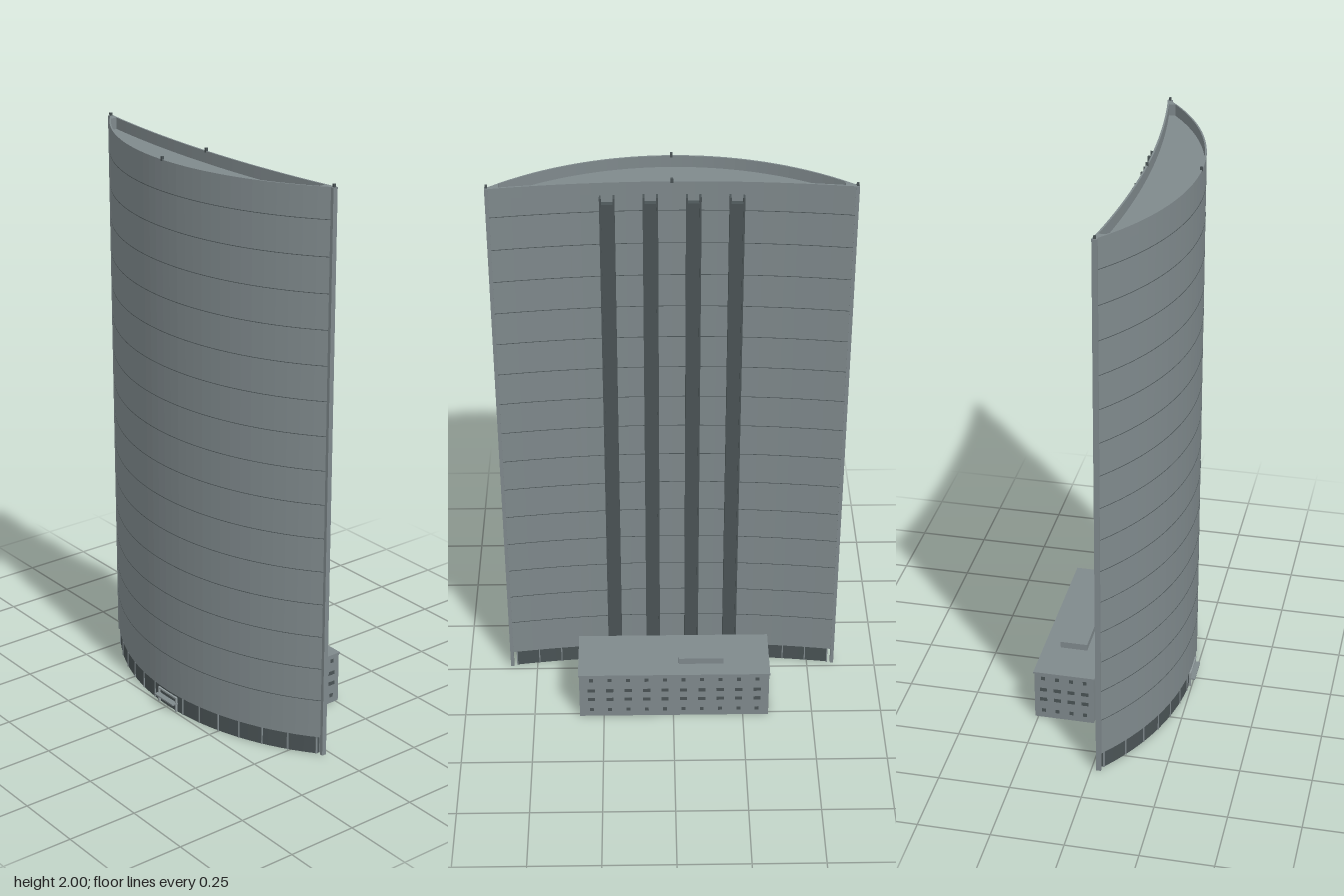
import * as THREE from 'three';

const mat = (name, color) => {
  const m = new THREE.MeshStandardMaterial({ color });
  m.name = name;
  return m;
};

// Plan curves of the crescent tower: z as a function of x
const arcZ = (x, half, zMid, zEnd) => {
  const sag = zMid - zEnd;
  const r = (half * half + sag * sag) / (2 * sag);
  return zMid - r + Math.sqrt(r * r - x * x);
};
const frontZ = x => arcZ(x, 0.59, 0.245, 0.03);
const backZ = x => arcZ(x, 0.59, 0.062, 0.018);

// Closed outline (drawn with y = -z) between the two curves
function crescent(half, inset, PathType = THREE.Shape, n = 32) {
  const pts = [];
  const at = i => -half + (2 * half * i) / n;
  for (let i = 0; i <= n; i++) pts.push(new THREE.Vector2(at(i), -(frontZ(at(i)) - inset)));
  for (let i = n; i >= 0; i--) pts.push(new THREE.Vector2(at(i), -(backZ(at(i)) + inset)));
  return new PathType(pts);
}

// Extrude a plan outline upward from y0 to y1
function rise(shape, y0, y1) {
  const g = new THREE.ExtrudeGeometry(shape, { depth: y1 - y0, bevelEnabled: false });
  g.rotateX(-Math.PI / 2);
  return g.translate(0, y0, 0);
}

export function createModel() {
  const model = new THREE.Group();
  model.name = 'crescentTowerAndAnnex';
  const grey = mat('blueGreyFacade', 0x7f898c);
  const dark = mat('darkGlass', 0x4a5355);
  const trim = mat('lightTrim', 0x8f999b);

  const add = (parent, name, geo, material) => {
    const m = new THREE.Mesh(geo, material);
    m.name = name;
    parent.add(m);
    return m;
  };
  // Box given by its min and max corners
  const box = (parent, name, x0, x1, y0, y1, z0, z1, material) =>
    add(parent, name, new THREE.BoxGeometry(x1 - x0, y1 - y0, z1 - z0), material)
      .position.set((x0 + x1) / 2, (y0 + y1) / 2, (z0 + z1) / 2);
  const group = name => {
    const g = new THREE.Group();
    g.name = name;
    model.add(g);
    return g;
  };

  // Tower: main body, sunken roof and parapet
  const tower = group('tower');
  add(tower, 'towerBody', rise(crescent(0.59, 0), 0.065, 1.95), grey);
  const ring = crescent(0.59, 0);
  ring.holes.push(crescent(0.555, 0.006, THREE.Path));
  add(tower, 'parapet', rise(ring, 1.95, 1.99), grey);

  // Fine floor seams around the body
  for (let i = 0; i < 15; i++) {
    const y = 0.205 + i * 0.12;
    add(tower, 'floorSeam', rise(crescent(0.588, -0.0008), y, y + 0.002), dark);
  }

  // Glazed ground floor with mullions following both curves
  const lobby = group('lobby');
  add(lobby, 'lobbyGlass', rise(crescent(0.575, 0.004), 0, 0.065), dark);
  for (let i = -7; i <= 7; i++) {
    if (i === 0) continue;
    const x = i * 0.082;
    for (const z of [frontZ(x) - 0.004, backZ(x) + 0.004])
      box(lobby, 'mullion', x - 0.002, x + 0.002, 0, 0.065, z - 0.003, z + 0.003, grey);
  }

  // Entrance: posts, lintel and canopy
  const entrance = group('entrance');
  for (const s of [-1, 1])
    box(entrance, 'entrancePost', s * 0.05 - 0.003, s * 0.05 + 0.003, 0, 0.056, 0.232, 0.247, trim);
  box(entrance, 'entranceLintel', -0.053, 0.053, 0.05, 0.056, 0.232, 0.247, trim);
  box(entrance, 'canopy', -0.054, 0.054, 0.029, 0.034, 0.235, 0.262, grey);

  // Full height pillars at the tips, and small roof lights
  for (const s of [-1, 1]) {
    box(tower, 'tipPillar', s * 0.593 - 0.006, s * 0.593 + 0.006, 0, 1.99, 0.017, 0.034, grey);
    box(tower, 'tipLight', s * 0.593 - 0.004, s * 0.593 + 0.004, 1.99, 2, 0.022, 0.03, dark);
  }
  for (const z of [0.064, 0.242])
    box(tower, 'roofLight', -0.004, 0.004, 1.985, 2, z - 0.004, z + 0.004, dark);

  // Four shafts on the back, each a recessed panel between two fins
  const shafts = group('backShafts');
  for (const x of [-0.21, -0.07, 0.07, 0.21]) {
    const wall = backZ(x) + 0.003;
    const out = wall - 0.03;
    box(shafts, 'shaftPanel', x - 0.024, x + 0.024, 0, 1.92, out + 0.008, wall, dark);
    for (const s of [-1, 1])
      box(shafts, 'shaftFin', x + s * 0.022 - 0.003, x + s * 0.022 + 0.003, 0, 1.945, out, wall, dark);
  }

  // Low annex behind the tower
  const annex = group('annex');
  box(annex, 'annexBody', -0.342, 0.337, 0, 0.186, -0.262, -0.048, grey);
  box(annex, 'annexRoof', -0.345, 0.34, 0.186, 0.192, -0.265, -0.045, grey);
  box(annex, 'roofHouse', -0.18, -0.02, 0.192, 0.216, -0.205, -0.108, grey);

  // Annex windows: small in the top and bottom rows, wide in the middle ones
  const rows = [[0.03, 0.014], [0.078, 0.026], [0.119, 0.026], [0.167, 0.014]];
  for (const [y, w] of rows) {
    for (let i = 0; i < 10; i++) {
      const x = -0.3 + i * 0.066;
      for (const z of [-0.262, -0.048])
        box(annex, 'longSideWindow', x - w / 2, x + w / 2, y - 0.007, y + 0.007, z - 0.001, z + 0.001, dark);
    }
    for (const z of [-0.08, -0.13, -0.18, -0.23])
      for (const x of [-0.342, 0.337])
        box(annex, 'endWindow', x - 0.001, x + 0.001, y - 0.007, y + 0.007, z - w / 2, z + w / 2, dark);
  }
  return model;
}
